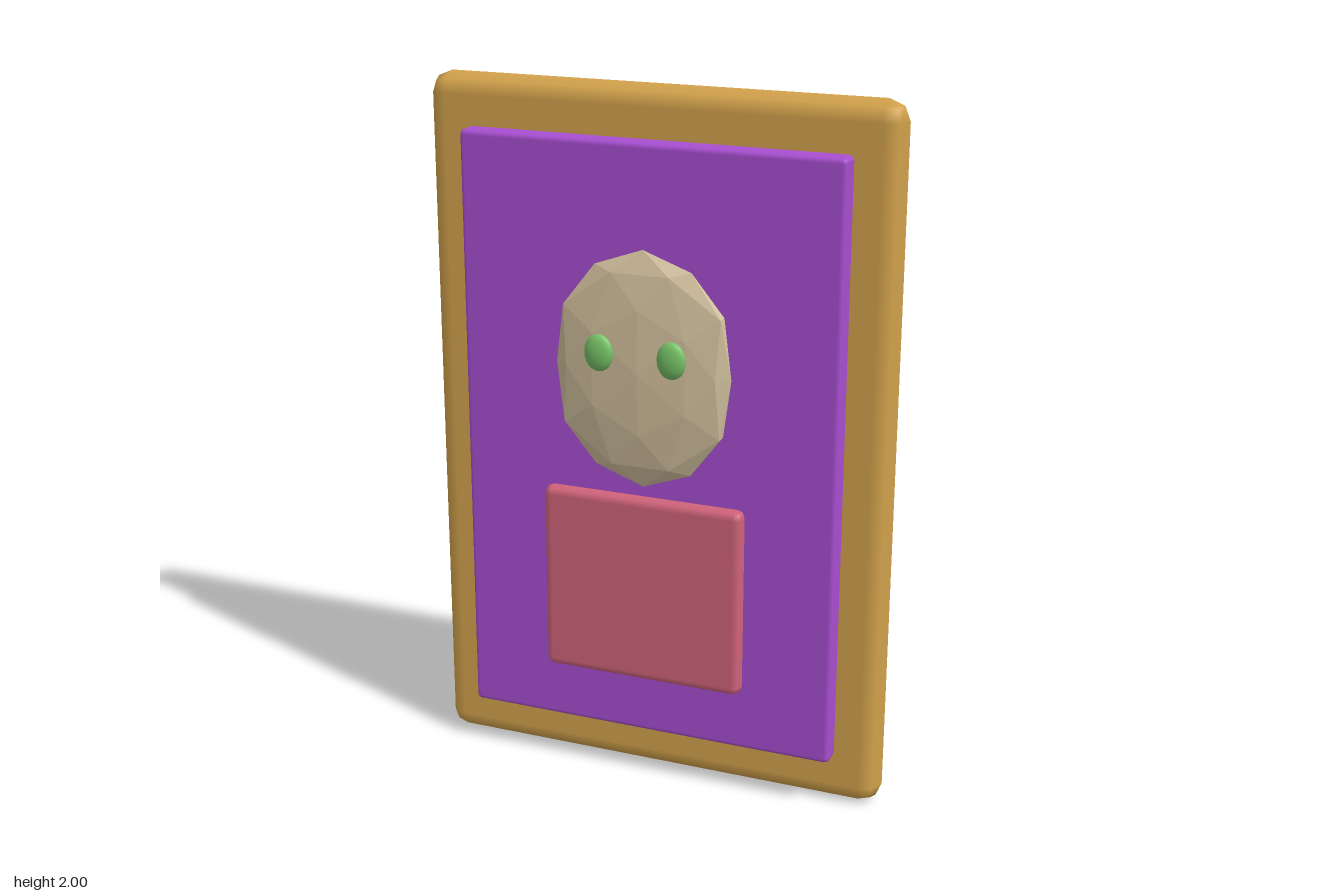
import * as THREE from 'three';
import { RoundedBoxGeometry } from 'three/addons/geometries/RoundedBoxGeometry.js';

function material(name, color, flatShading = false) {
  const m = new THREE.MeshStandardMaterial({ color, flatShading });
  m.name = name;
  return m;
}

export function createModel() {
  const group = new THREE.Group();
  group.name = 'framedPortrait';

  const gold = material('gold', 0xd4a34c);
  const purple = material('purple', 0xa94fd3);
  const pink = material('pink', 0xd2647b);
  const bone = material('bone', 0xd4c29f, true);
  const green = material('green', 0x78c468);

  const add = (name, geometry, mat, x, y, z) => {
    const mesh = new THREE.Mesh(geometry, mat);
    mesh.name = name;
    mesh.position.set(x, y, z);
    group.add(mesh);
    return mesh;
  };

  // Stacked slabs: bevelled frame, canvas and the torso block
  const slab = (name, mat, w, y0, y1, z0, z1, r) =>
    add(name, new RoundedBoxGeometry(w, y1 - y0, z1 - z0, 1, r), mat, 0, (y0 + y1) / 2, (z0 + z1) / 2);
  slab('frame', gold, 1.355, 0, 2, -0.135, -0.02, 0.057);
  slab('canvas', purple, 1.1, 0.145, 1.86, -0.05, 0.035, 0.015);
  slab('torso', pink, 0.595, 0.325, 0.88, 0.028, 0.082, 0.026);

  // Faceted flat head, slightly fuller at the brow and jaw
  const headGeo = new THREE.IcosahedronGeometry(1, 1);
  const p = headGeo.attributes.position;
  for (let i = 0; i < p.count; i++) {
    const y2 = p.getY(i) ** 2;
    p.setX(i, p.getX(i) * (1 + 0.75 * y2 * (1 - y2) ** 2));
  }
  headGeo.scale(0.255, 0.335, 0.046);
  headGeo.computeVertexNormals();
  add('head', headGeo, bone, 0, 1.245, 0.058);

  // Eyes
  for (const side of [-1, 1]) {
    const eye = new THREE.SphereGeometry(1, 16, 12);
    eye.scale(0.042, 0.052, 0.019);
    add(side > 0 ? 'leftEye' : 'rightEye', eye, green, side * 0.105, 1.3, 0.115);
  }

  return group;
}
